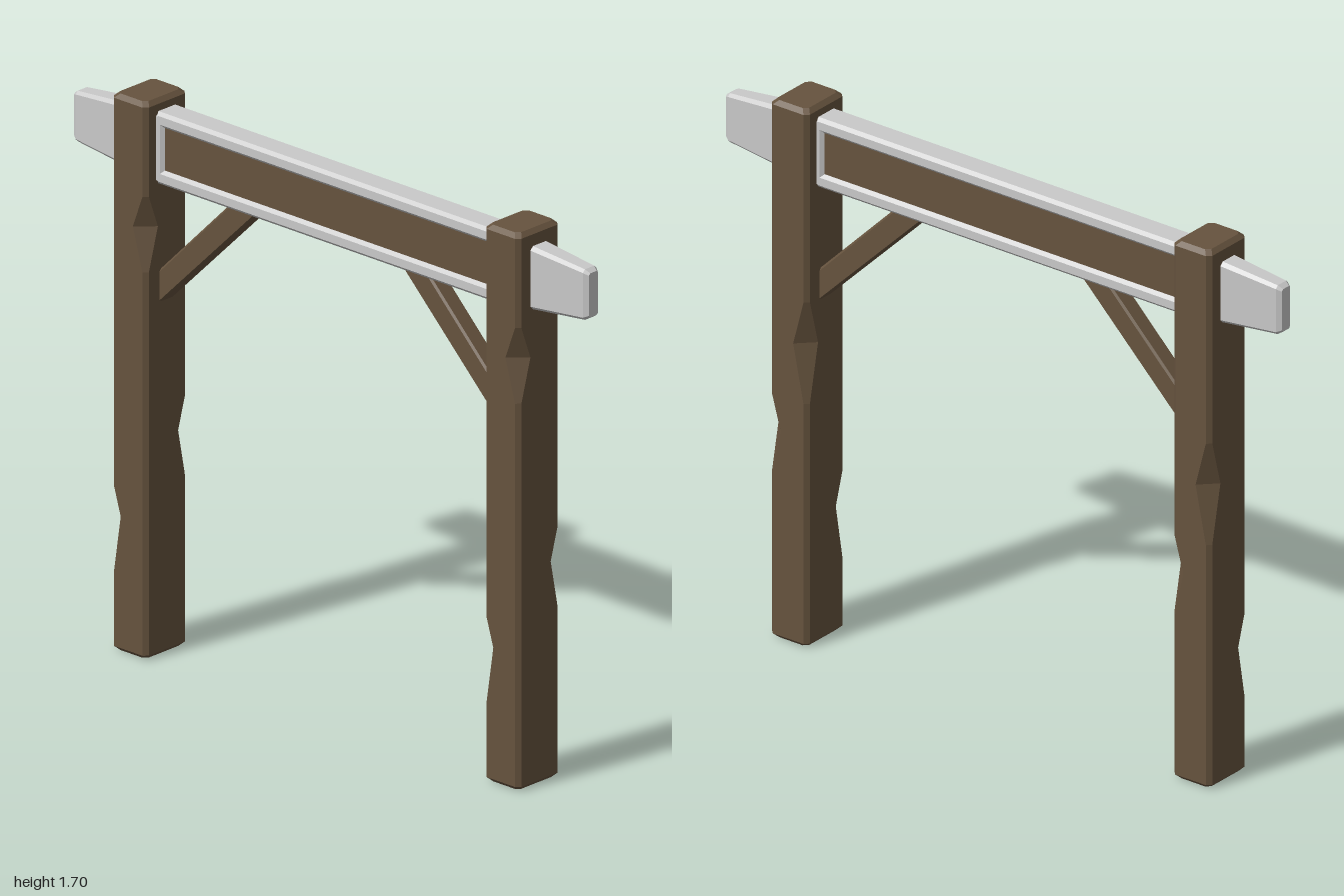
import * as THREE from 'three';

// Chamfered rectangle, counter-clockwise; one chamfer size per corner
function ring(hu, hv, [a, b, c, d]) {
  return [
    [hu, hv - a], [hu - a, hv], [b - hu, hv], [-hu, hv - b],
    [-hu, c - hv], [c - hu, -hv], [hu - d, -hv], [hu, d - hv],
  ];
}

// Joins rings of 3D points with flat faces and closes both ends
function loft(rings) {
  const out = [], n = rings[0].length, last = rings[rings.length - 1];
  const tri = (...pts) => pts.forEach((p) => out.push(...p));
  for (let i = 0; i < rings.length - 1; i++) {
    const r = rings[i], s = rings[i + 1];
    for (let j = 0; j < n; j++) {
      const k = (j + 1) % n;
      tri(r[j], r[k], s[k]);
      tri(r[j], s[k], s[j]);
    }
  }
  for (let j = 1; j < n - 1; j++) {
    tri(rings[0][0], rings[0][j + 1], rings[0][j]);
    tri(last[0], last[j], last[j + 1]);
  }
  const geo = new THREE.BufferGeometry();
  geo.setAttribute('position', new THREE.Float32BufferAttribute(out, 3));
  geo.computeVertexNormals();
  return geo;
}

// Post with one axe notch on each vertical edge
function postGeometry() {
  const H = 1.695, hx = 0.068, hz = 0.087, edge = 0.013;
  // low, middle, high, depth for corners +z+x, -z+x, -z-x, +z-x
  const notches = [
    [1.18, 1.31, 1.41, 0.05], [0.52, 0.66, 0.76, 0.042],
    [0.77, 0.95, 1.09, 0.05], [0.23, 0.4, 0.5, 0.043],
  ];
  const cut = (y, [lo, mid, hi, depth]) => {
    const t = y < mid ? (y - lo) / (mid - lo) : (hi - y) / (hi - mid);
    return edge + (depth - edge) * Math.max(0, t);
  };
  const levels = notches.flatMap((n) => n.slice(0, 3)).concat(edge, H - edge).sort((p, q) => p - q);
  const at = (y, inset = 0) =>
    ring(hz - inset, hx - inset, notches.map((n) => cut(y, n))).map(([z, x]) => [x, y, z]);
  return loft([at(0, edge), ...levels.map((y) => at(y)), at(H, edge)]);
}

// Tapered beam end along +x
function beamEndGeometry() {
  const at = (x, hy, hz, c) => ring(hy, hz, [c, c, c, c]).map(([y, z]) => [x, y, z]);
  return loft([
    at(0.65, 0.11, 0.044, 0.012), at(0.985, 0.077, 0.028, 0.009), at(1, 0.067, 0.019, 0.006),
  ]);
}

// Outline of a rectangle centred on the origin
function rectPoints(hx, hy) {
  return [[-hx, -hy], [hx, -hy], [hx, hy], [-hx, hy]].map(([x, y]) => new THREE.Vector2(x, y));
}

// Extrusion centred on z with chamfered edges that stay inside the outline
function chamferExtrude(shape, thickness, c) {
  const geo = new THREE.ExtrudeGeometry(shape, {
    depth: thickness - 2 * c, bevelEnabled: true, bevelThickness: c,
    bevelSize: c, bevelOffset: -c, bevelSegments: 1,
  });
  return geo.translate(0, 0, c - thickness / 2);
}

export function createModel() {
  const model = new THREE.Group();
  model.name = 'gateFrame';
  const wood = new THREE.MeshStandardMaterial({ color: 0x66533e });
  wood.name = 'brownWood';
  const pale = new THREE.MeshStandardMaterial({ color: 0xc9c9c9 });
  pale.name = 'paleGrey';
  const add = (name, geo, mat, x = 0, y = 0) => {
    const mesh = new THREE.Mesh(geo, mat);
    mesh.name = name;
    mesh.position.set(x, y, 0);
    model.add(mesh);
    return mesh;
  };
  const beamY = 1.55;

  // Posts, both notched the same way round
  const post = postGeometry();
  add('leftPost', post, wood, 0.722);
  add('rightPost', post, wood, -0.725);

  // Beam: framed middle with tapered ends
  const frame = new THREE.Shape(rectPoints(0.66, 0.11));
  frame.holes.push(new THREE.Path(rectPoints(0.633, 0.065)));
  add('beamFrame', chamferExtrude(frame, 0.088, 0.01), pale, 0, beamY);
  const end = beamEndGeometry();
  add('leftBeamEnd', end, pale, 0, beamY);
  add('rightBeamEnd', end, pale, 0, beamY).rotation.y = Math.PI;

  // Recessed wooden panel, seen on both faces
  add('beamPanel', new THREE.BoxGeometry(1.28, 0.14, 0.066), wood, 0, beamY);

  // Diagonal braces between posts and beam
  for (const [name, s] of [['leftBrace', 1], ['rightBrace', -1]]) {
    const pts = [[0.67, 1.065], [0.67, 1.165], [0.385, 1.45], [0.28, 1.45]];
    const shape = new THREE.Shape(pts.map(([x, y]) => new THREE.Vector2(s * x, y)));
    add(name, chamferExtrude(shape, 0.06, 0.006), wood);
  }
  return model;
}
